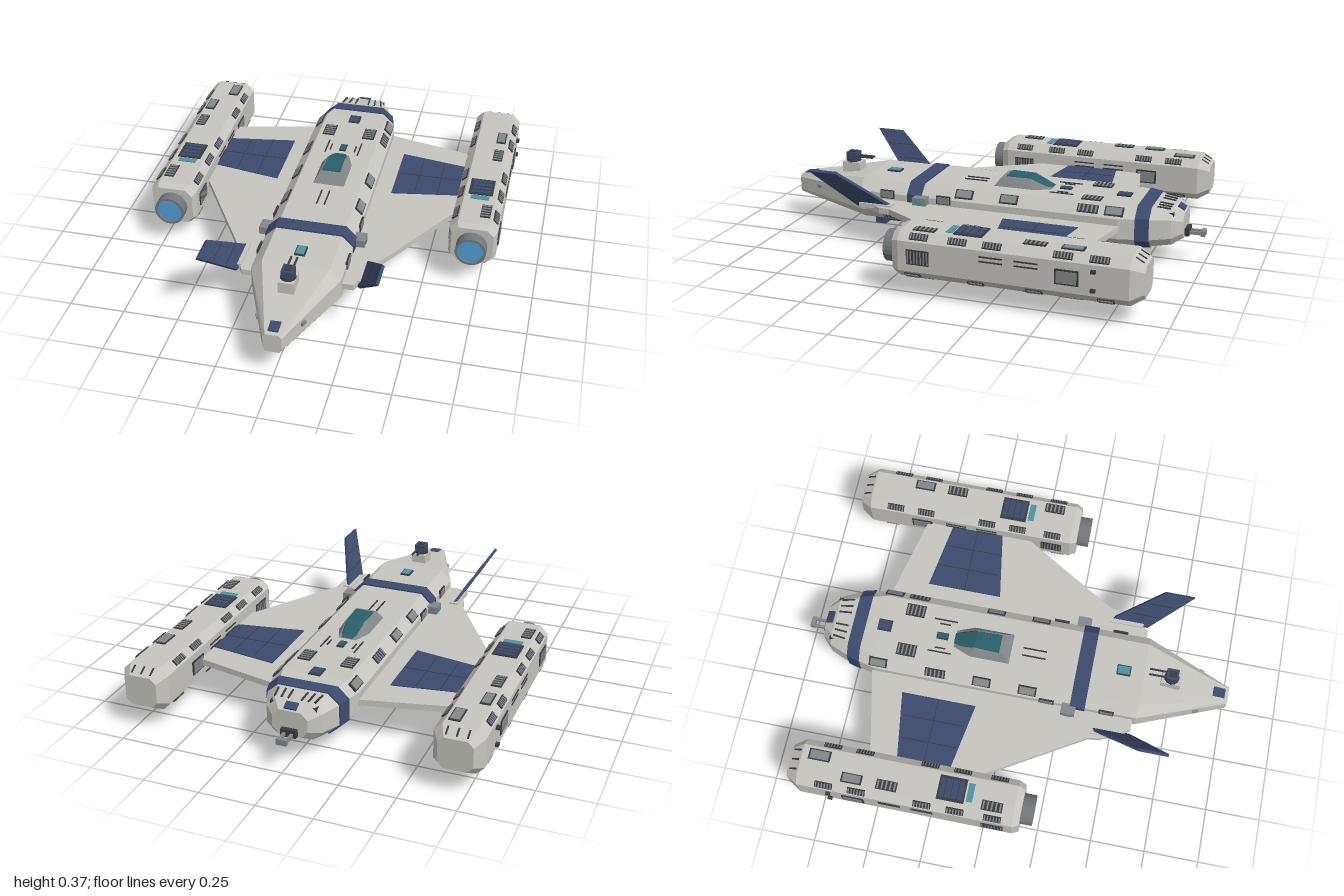
import * as THREE from 'three';
import { ConvexGeometry } from 'three/addons/geometries/ConvexGeometry.js';

const mat = (color, extra = {}) => new THREE.MeshStandardMaterial({ color, flatShading: true, ...extra });
const M = {
  hull: mat(0xc6c5bf), grey: mat(0x85888a), dark: mat(0x3a3c40), navy: mat(0x3d4a6e),
  teal: mat(0x2a5f6b), aqua: mat(0x4f93a5), glow: mat(0x559fd8),
};

export function createModel() {
  const root = new THREE.Group();
  const add = (name, geo, material, parent = root) => {
    const m = new THREE.Mesh(geo, material);
    m.name = name;
    parent.add(m);
    return m;
  };
  const box = (name, material, [x, y, z], [w, h, d], rz = 0, rx = 0, ry = 0, parent = root) => {
    const m = add(name, new THREE.BoxGeometry(w, h, d), material, parent);
    m.position.set(x, y, z);
    m.rotation.set(rx, ry, rz);
    return m;
  };
  // Cylinder lying along z
  const rod = (name, material, [x, y, z], r, len, sides = 16, r2 = r) => {
    const m = add(name, new THREE.CylinderGeometry(r, r2, len, sides).rotateX(Math.PI / 2), material);
    m.position.set(x, y, z);
    return m;
  };
  // Louvred vent lying flat (normal +y), tilted by rz
  const vent = (pos, w, d, rz = 0, slats = 5) => {
    const g = new THREE.Group();
    g.name = 'vent';
    g.position.set(...pos);
    g.rotation.z = rz;
    box('ventBase', M.dark, [0, 0, 0], [w, 0.008, d], 0, 0, 0, g);
    for (let i = 0; i < slats; i++)
      box('slat', M.grey, [0, 0.003, d * ((i + 0.5) / slats - 0.5)], [w * 0.85, 0.006, d / slats * 0.4], 0, 0, 0, g);
    root.add(g);
  };
  // Framed hatch lying flat, tilted by rz
  const hatch = (pos, w, d, inner = M.grey, rz = 0) => {
    const g = new THREE.Group();
    g.name = 'hatch';
    g.position.set(...pos);
    g.rotation.z = rz;
    box('hatchFrame', M.dark, [0, 0, 0], [w, 0.008, d], 0, 0, 0, g);
    box('hatchCover', inner, [0, 0.002, 0], [w * 0.78, 0.01, d * 0.84], 0, 0, 0, g);
    root.add(g);
  };
  // Loft of bevelled rectangles; each station is [z, halfWidth, yBottom, yTop, bevelX, bevelY]
  const loft = (stations, cx = 0) => {
    const pos = [], idx = [], n = 8;
    for (const [z, w, b, t, cX, cY] of stations)
      for (const [x, y] of [[w, b + cY], [w, t - cY], [w - cX, t], [cX - w, t], [-w, t - cY], [-w, b + cY], [cX - w, b], [w - cX, b]])
        pos.push(cx + x, y, z);
    const last = (stations.length - 1) * n;
    for (let s = 0; s < last; s += n)
      for (let i = 0; i < n; i++) {
        const a = s + i, b = s + (i + 1) % n;
        idx.push(a, b, a + n, b, b + n, a + n);
      }
    for (let i = 1; i < n - 1; i++) idx.push(0, i + 1, i, last, last + i, last + i + 1);
    const g = new THREE.BufferGeometry();
    g.setAttribute('position', new THREE.Float32BufferAttribute(pos, 3));
    g.setIndex(idx);
    const flat = g.toNonIndexed();
    flat.computeVertexNormals();
    return flat;
  };
  // Horizontal plate from an x,z outline
  const plate = (pts, top, thick) => new THREE.ExtrudeGeometry(
    new THREE.Shape(pts.map(p => new THREE.Vector2(...p))), { depth: thick, bevelEnabled: false })
    .rotateX(Math.PI / 2).translate(0, top, 0);
  const convex = pts => new ConvexGeometry(pts.map(p => new THREE.Vector3(...p)));

  // Fuselage and painted bands
  add('fuselage', loft([
    [-0.91, 0.08, 0.135, 0.25, 0.03, 0.03], [-0.865, 0.125, 0.11, 0.275, 0.04, 0.04],
    [-0.77, 0.165, 0.1, 0.285, 0.05, 0.045], [-0.64, 0.2, 0.097, 0.29, 0.05, 0.05],
    [0.6, 0.2, 0.097, 0.288, 0.05, 0.05], [1, 0.04, 0.14, 0.23, 0.01, 0.015]]), M.hull);
  add('frontBand', loft([[0.29, 0.204, 0.092, 0.296, 0.05, 0.05], [0.36, 0.204, 0.092, 0.296, 0.05, 0.05]]), M.navy);
  add('rearBand', loft([[-0.775, 0.168, 0.095, 0.289, 0.05, 0.045], [-0.715, 0.184, 0.093, 0.292, 0.05, 0.048]]), M.navy);

  // Docking prong at the tail
  box('prongBase', M.dark, [0, 0.155, -0.915], [0.07, 0.035, 0.03]);
  for (const s of [-1, 1]) box('prongBar', M.grey, [s * 0.017, 0.152, -0.945], [0.012, 0.014, 0.1]);
  box('prongTip', M.grey, [0, 0.152, -0.99], [0.048, 0.026, 0.02]);

  // Dorsal canopy
  add('canopyFrame', convex([
    [-0.04, 0.285, -0.3], [0.04, 0.285, -0.3], [-0.075, 0.285, -0.21], [0.075, 0.285, -0.21],
    [-0.075, 0.285, -0.02], [0.075, 0.285, -0.02], [-0.05, 0.332, -0.055], [0.05, 0.332, -0.055],
    [-0.045, 0.332, -0.19], [0.045, 0.332, -0.19]]), M.grey);
  add('canopyGlass', convex([
    [-0.025, 0.295, -0.292], [0.025, 0.295, -0.292], [-0.05, 0.31, -0.22], [0.05, 0.31, -0.22],
    [-0.05, 0.315, -0.07], [0.05, 0.315, -0.07], [-0.043, 0.338, -0.075], [0.043, 0.338, -0.075],
    [-0.038, 0.338, -0.19], [0.038, 0.338, -0.19]]), M.teal);

  // Keel pod
  add('keelPod', loft([[-0.13, 0.062, 0.012, 0.11, 0.01, 0.01], [0.16, 0.062, 0.012, 0.11, 0.01, 0.01]]), M.hull);
  box('keelPlate', M.grey, [0, 0.02, 0.015], [0.11, 0.024, 0.3]);

  // Turrets above and below, barrels pointing aft
  for (const [s, y, z] of [[1, 0.282, 0.725], [-1, 0.1, 0.58]]) {
    box('turretBase', M.hull, [0, y + s * 0.008, z], [0.07, 0.055, 0.09]);
    add('turretRing', new THREE.CylinderGeometry(0.033, 0.036, 0.02, 12), M.dark).position.set(0, y + s * 0.04, z);
    box('turretHead', M.navy, [0, y + s * 0.063, z], [0.052, 0.036, 0.055]);
    box('turretCap', M.dark, [0, y + s * 0.078, z], [0.03, 0.014, 0.035]);
    for (const x of [-0.013, 0.013]) rod('barrel', M.dark, [x, y + s * 0.06, z - 0.06], 0.005, 0.09, 8);
  }

  // Panels and markings on the centreline
  hatch([0, 0.291, -0.625], 0.055, 0.065, M.navy);
  hatch([0, 0.291, -0.35], 0.032, 0.055, M.teal);
  hatch([0, 0.291, 0.505], 0.048, 0.065, M.aqua);
  box('nosePanel', M.navy, [0, 0.238, 0.955], [0.045, 0.008, 0.055], 0, 0.144);
  box('tailPanel', M.navy, [0, 0.266, -0.89], [0.055, 0.008, 0.035], 0, -0.5);
  for (const x of [-0.105, -0.07, -0.035, 0.035, 0.07, 0.105])
    box('tailSlot', M.dark, [x * 0.9, 0.281, -0.825], [0.007, 0.007, 0.06], 0, -0.105, x * 1.6);

  for (const s of [-1, 1]) {
    // Hull details
    vent([s * 0.1, 0.291, -0.5], 0.058, 0.09);
    vent([s * 0.1, 0.096, -0.5], 0.058, 0.09, Math.PI);
    hatch([s * 0.1, 0.096, 0.22], 0.05, 0.08, M.grey, Math.PI);
    const tilt = -s * Math.PI / 4;
    vent([s * 0.176, 0.266, s < 0 ? -0.35 : -0.5], 0.04, 0.095, tilt);
    for (const z of [-0.62, -0.13, 0.085]) hatch([s * 0.176, 0.266, z], 0.045, 0.085, M.grey, tilt);
    for (const z of [-0.45, -0.05, 0.45]) vent([s * 0.176, 0.121, z], 0.04, 0.09, -s * Math.PI * 0.75);
    for (const z of [0.18, 0.46]) hatch([s * 0.2, 0.235, z], 0.04, 0.07, M.grey, -s * Math.PI / 2);
    for (const [x, z, d] of [[0.08, -0.35, 0.11], [0.018, 0.085, 0.11], [0.06, -0.35, 0.05]])
      box('seamSlot', M.dark, [s * x, 0.291, z], [0.006, 0.005, d]);
    box('thruster', M.grey, [s * 0.088, 0.2, 0.86], [0.035, 0.016, 0.025], 0, 0, -s * 0.38);
    box('thruster', M.dark, [s * 0.09, 0.255, -0.86], [0.03, 0.016, 0.025]);

    // Sensor block and tank beside the hull
    box('sensorBlock', M.grey, [s * 0.218, 0.228, 0.285], [0.05, 0.036, 0.065]);
    box('sensorWindow', M.aqua, [s * 0.244, 0.228, 0.285], [0.006, 0.02, 0.035]);
    rod('tank', M.navy, [s * 0.235, 0.15, 0], 0.03, 0.2);
    for (const e of [-1, 1]) rod('tankEnd', M.navy, [s * 0.235, 0.15, e * 0.112], e > 0 ? 0.018 : 0.03, 0.024, 16, e > 0 ? 0.03 : 0.018);

    // Wing with solar panels on both faces
    add('wing', plate([[0.17, -0.655], [0.62, -0.555], [0.62, -0.07], [0.585, -0.03], [0.325, 0.4],
      [0.32, 0.45], [0.25, 0.585], [0.17, 0.585]].map(([x, z]) => [s * x, z]), 0.208, 0.028), M.hull);
    add('solarPanel', plate([[0.28, -0.485], [0.6, -0.435], [0.6, -0.19], [0.28, -0.137]]
      .map(([x, z]) => [s * x, z]), 0.212, 0.036), M.navy);
    for (const y of [0.2125, 0.1755]) {
      for (const x of [0.387, 0.493]) box('panelSeam', M.dark, [s * x, y, -0.312], [0.004, 0.002, 0.3 - (x - 0.33) * 0.25]);
      box('panelSeam', M.dark, [s * 0.44, y, -0.312], [0.32, 0.002, 0.004]);
    }

    // Canted swept fin
    const fin = (a, b, t) => [-t, t].flatMap(k => [[0.272, 0.195, 0.39], [0.272, 0.195, 0.58], [0.385, 0.375, 0.765], [0.385, 0.375, 0.63]]
      .map(([x, y, z]) => [s * (x + k * 0.85), y - k * 0.53, z]));
    add('fin', convex(fin(0, 0, 0.007)), M.navy);
    for (const f of [0.33, 0.66])
      box('finSeam', M.dark, [s * (0.272 + 0.113 * f), 0.195 + 0.18 * f, 0.485 + 0.2125 * f], [0.017, 0.004, 0.16 - 0.05 * f], -s * 0.56);
    box('finRoot', M.hull, [s * 0.28, 0.205, 0.48], [0.045, 0.02, 0.16]);

    // Engine nacelle
    const cx = s * 0.705;
    add('nacelle', loft([
      [-0.9, 0.075, 0.125, 0.265, 0.025, 0.025], [-0.845, 0.108, 0.094, 0.296, 0.035, 0.035],
      [0.14, 0.108, 0.094, 0.296, 0.035, 0.035], [0.17, 0.095, 0.106, 0.284, 0.03, 0.03]], cx), M.hull);
    const nozzle = new THREE.LatheGeometry([[0.07, 0.15], [0.07, 0.225], [0.06, 0.225], [0.056, 0.19]]
      .map(p => new THREE.Vector2(...p)), 24).rotateX(Math.PI / 2);
    add('nozzle', nozzle, mat(0x74777a, { side: THREE.DoubleSide })).position.set(cx, 0.195, 0);
    rod('engineGlow', M.glow, [cx, 0.195, 0.205], 0.062, 0.02, 24);

    // Nacelle top and bottom panels
    for (const [y, rz] of [[0.297, 0], [0.093, Math.PI]]) {
      hatch([s * 0.747, y, -0.6], 0.045, 0.095, M.grey, rz);
      vent([s * 0.747, y, -0.44], 0.045, 0.095, rz);
      vent([s * 0.747, y, 0.04], 0.045, 0.095, rz);
    }
    if (s < 0) hatch([-0.67, 0.297, -0.765], 0.05, 0.1);
    hatch([cx, 0.297, -0.15], 0.112, 0.125, M.navy);
    for (const z of [-0.18, -0.15, -0.12]) box('panelSeam', M.dark, [cx, 0.305, z], [0.09, 0.002, 0.004]);
    box('tealStrip', M.aqua, [cx, 0.297, -0.065], [0.085, 0.006, 0.028]);
    for (const x of [-0.045, 0, 0.045])
      box('tailSlot', M.dark, [cx + x, 0.282, -0.87], [0.007, 0.006, 0.04], 0, -0.51);

    // Nacelle side panels, outboard and inboard
    for (const e of [-1, 1]) {
      const out = -e * Math.PI / 2, x = cx + e * 0.109, bx = cx + e * 0.092;
      vent([x, 0.195, 0.05], 0.065, 0.1, out, 7);
      hatch([x, 0.195, -0.59], 0.065, 0.1, M.grey, out);
      for (const z of [-0.27, -0.42]) for (const y of [0.215, 0.235])
        box('sideSlot', M.dark, [x, y, z], [0.005, 0.006, 0.1]);
      for (const z of [0.05, -0.12, -0.27, -0.57, -0.72]) vent([bx, 0.28, z], 0.03, 0.08, out / 2, 6);
      for (const z of [0.08, -0.2, -0.45, -0.75]) hatch([bx, 0.11, z], 0.025, 0.07, M.grey, out * 1.5);
    }
    for (const [y, z] of [[0.235, -0.7], [0.155, -0.7]]) box('thruster', M.dark, [cx + s * 0.113, y, z], [0.02, 0.014, 0.02]);
  }
  return root;
}
